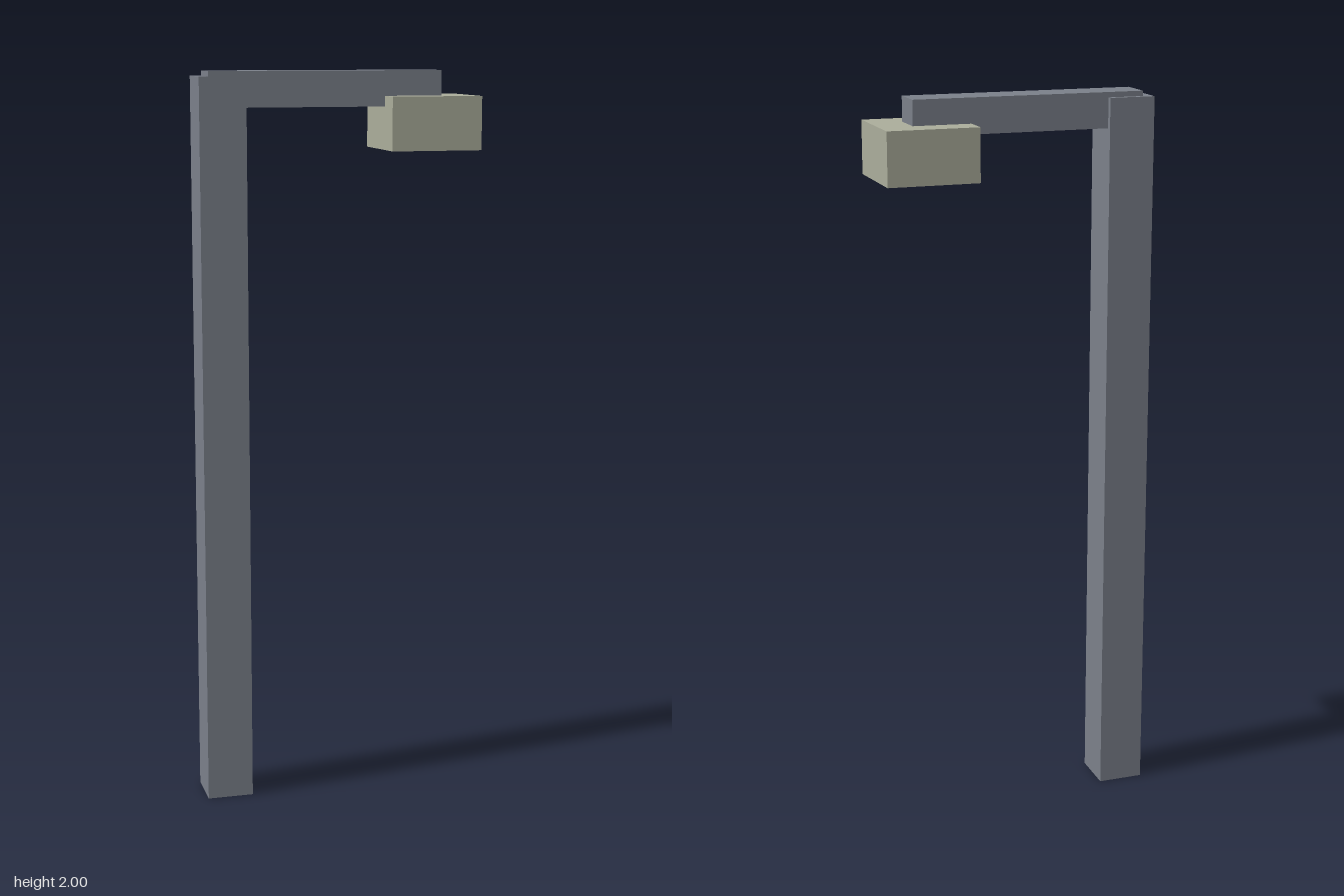
import * as THREE from 'three';

export function createModel() {
  const model = new THREE.Group();
  model.name = 'streetLamp';

  const postGrey = new THREE.MeshStandardMaterial({ color: 0x7b808a });
  postGrey.name = 'postGrey';
  const lampBeige = new THREE.MeshStandardMaterial({ color: 0xabad9b });
  lampBeige.name = 'lampBeige';

  // Box from its x and y limits, centred on z = 0
  function addBox(name, material, [x0, x1], [y0, y1], depth) {
    const mesh = new THREE.Mesh(new THREE.BoxGeometry(x1 - x0, y1 - y0, depth), material);
    mesh.position.set((x0 + x1) / 2, (y0 + y1) / 2, 0);
    mesh.name = name;
    model.add(mesh);
  }

  // Upright post
  addBox('post', postGrey, [-0.377, -0.251], [0, 1.986], 0.127);
  // Horizontal arm, sunk into the post top and rising just above it
  addBox('arm', postGrey, [-0.349, 0.287], [1.905, 2], 0.099);
  // Lamp housing hung around the arm's end
  addBox('lampHead', lampBeige, [0.129, 0.377], [1.79, 1.933], 0.248);

  return model;
}
